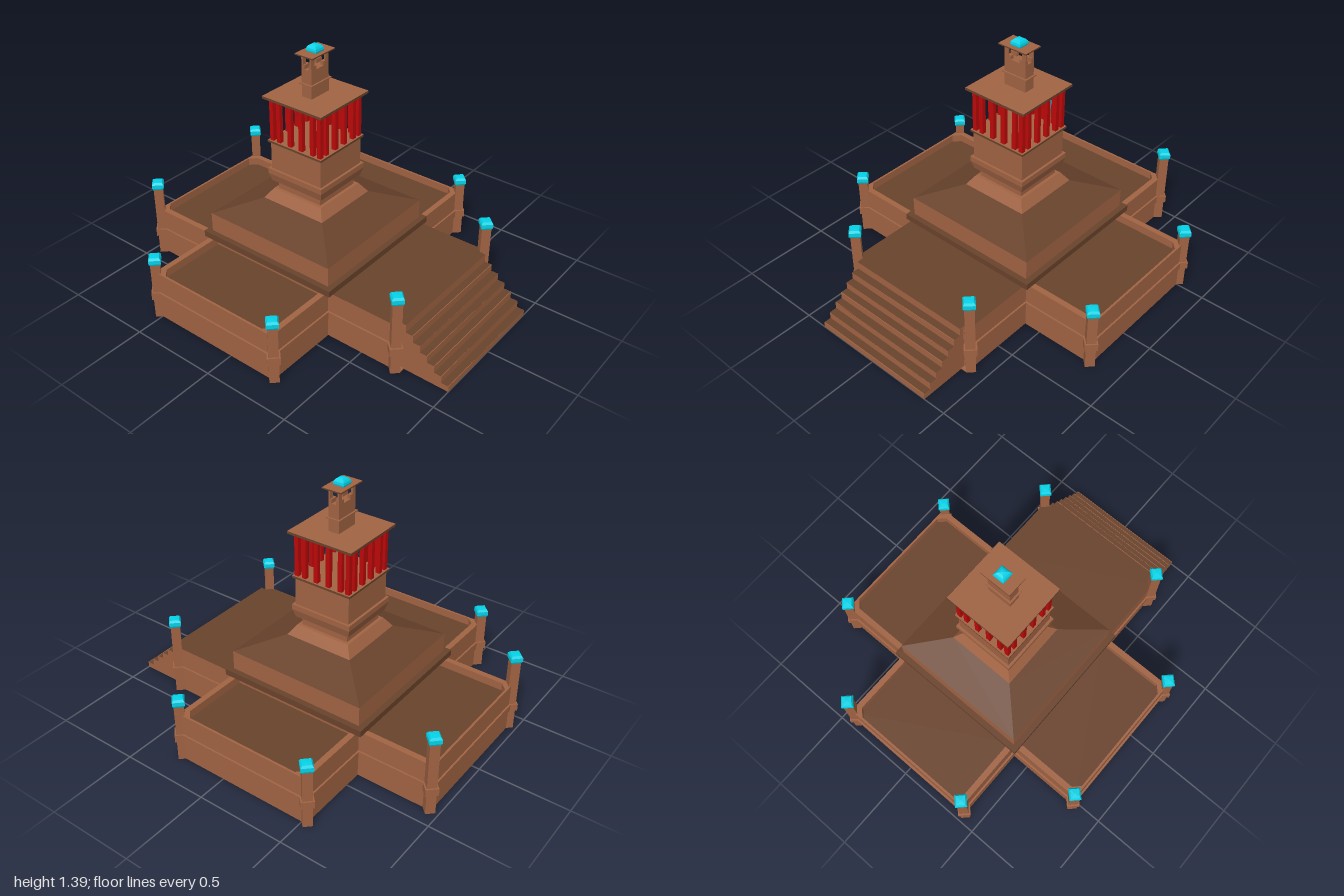
import * as THREE from 'three';

const mat = (name, color) => {
  const m = new THREE.MeshStandardMaterial({ color, side: THREE.DoubleSide, flatShading: true });
  m.name = name;
  return m;
};

export function createModel() {
  const clay = mat('clay', 0xa06343);
  const darkClay = mat('dark clay', 0x69432c);
  const red = mat('red', 0xbd0808);
  const teal = mat('teal', 0x05d3e8);
  // box face materials: dark rim with a clay top, and clay sides with a dark top
  const darkRim = [darkClay, darkClay, clay, darkClay, darkClay, darkClay];
  const darkTop = [clay, clay, darkClay, darkClay, clay, clay];

  const root = new THREE.Group();
  root.name = 'temple';
  root.position.z = -0.12;

  const add = (name, geo, material, parent = root) => {
    const m = new THREE.Mesh(geo, material);
    m.name = name;
    parent.add(m);
    return m;
  };
  // box given by its limits
  const box = (name, material, [x0, x1], [y0, y1], [z0, z1], parent = root) => {
    const g = new THREE.BoxGeometry(x1 - x0, y1 - y0, z1 - z0);
    g.translate((x0 + x1) / 2, (y0 + y1) / 2, (z0 + z1) / 2);
    return add(name, g, material, parent);
  };
  // mirrored interval
  const span = (s, a, b) => s > 0 ? [a, b] : [-b, -a];
  // four-sided solid from [half width, y] pairs; diamonds have corners on the axes
  const foursided = (pts, diamond = false) => {
    const k = diamond ? 1 : Math.SQRT2;
    const g = new THREE.LatheGeometry(
      pts.map(([r, y]) => new THREE.Vector2(r * k, y)), 4, diamond ? 0 : Math.PI / 4).toNonIndexed();
    g.computeVertexNormals();
    return g;
  };

  // four terrace arms around the tower; arm 0 is the front one with the stairs
  const W = 0.405, END = 0.835, FRONT = 0.86, TOP = 0.28;
  const wallShape = new THREE.Shape([
    [-W, W], [-W + 0.033, W], [-W + 0.033, END - 0.05], [-W + 0.072, END - 0.012],
    [W - 0.072, END - 0.012], [W - 0.033, END - 0.05], [W - 0.033, W], [W, W], [W, END], [-W, END],
  ].map(([x, y]) => new THREE.Vector2(x, y)));
  const wallGeo = new THREE.ExtrudeGeometry(wallShape, { depth: TOP, bevelEnabled: false });
  wallGeo.rotateX(Math.PI / 2).translate(0, TOP, 0);

  for (let i = 0; i < 4; i++) {
    const arm = new THREE.Group();
    arm.name = ['frontTerrace', 'leftTerrace', 'backTerrace', 'rightTerrace'][i];
    arm.rotation.y = i * Math.PI / 2;
    root.add(arm);
    const end = i === 0 ? FRONT : END;

    if (i === 0) {
      // side walls and flat landing
      for (const s of [-1, 1]) box('landingWall', clay, span(s, W - 0.033, W), [0, 0.272], [W, END], arm);
      box('landing', darkTop, [-W, W], [0.272, TOP], [W, END], arm);
      box('landingEdge', darkTop, [-0.37, 0.37], [0.272, TOP], [END, FRONT], arm);
      // stairs, hollow underneath
      const levels = 7, rise = TOP / levels, run = (1.12 - FRONT) / (levels - 1);
      for (let k = 0; k < levels; k++) {
        const z = 1.12 - k * run, y = (k + 1) * rise - (k < levels - 1 ? 0.006 : 0.008);
        box('riser', clay, [-0.37, 0.37], [Math.max(0, k * rise - 0.006), y], [z - 0.004, z], arm);
        const back = k < levels - 1 ? z - run : END;
        if (k < levels - 1) box('tread', darkTop, [-0.37, 0.37], [y - 0.003, y], [back, z], arm);
        for (const s of [-1, 1]) box('stairSide', clay, span(s, 0.364, 0.37), [0, y - 0.001], [back, z], arm);
      }
    } else {
      add('parapet', wallGeo, clay, arm);
      box('terraceFloor', darkClay, [-W + 0.01, W - 0.01], [0.225, 0.235], [W - 0.02, END - 0.005], arm);
      box('endBelt', clay, [-W, W], [0.12, 0.162], [END - 0.005, END + 0.01], arm);
    }
    box('underside', clay, [-W, W], [0, 0.006], [W, end], arm);

    // belts along the sides, corner posts and their caps
    const h = i % 2 ? 0.34 : 0.43;
    for (const s of [-1, 1]) {
      box('sideBelt', clay, span(s, W, W + 0.01), [0.12, 0.162], [W, END], arm);
      const post = new THREE.Group();
      post.name = 'cornerPost';
      post.position.set(s * W, 0, 0.826);
      arm.add(post);
      add('postShaft', foursided([[0, 0], [0.036, 0], [0.036, 0.12], [0.048, 0.12], [0.048, 0.162],
        [0.036, 0.162], [0.036, h]], true), clay, post);
      add('postCap', foursided([[0, h - 0.005], [0.038, h - 0.005], [0.045, h + 0.006], [0.045, h + 0.028],
        [0.034, h + 0.04], [0, h + 0.042]], true), teal, post);
    }
  }

  // central podium, open underneath
  add('podiumFoot', foursided([[0.405, 0.225], [0.405, TOP]]), clay);
  add('podiumLedge', foursided([[0.4, TOP], [0.437, TOP], [0.437, 0.315], [0.4, 0.315]]), darkClay);
  add('podiumWall', foursided([[0.405, 0.315], [0.405, 0.425]]), clay);
  add('podiumRoof', foursided([[0.405, 0.425], [0.2, 0.506]]), darkClay);

  // tower shaft
  add('towerShaft', foursided([[0.2, 0.506], [0.162, 0.562], [0.143, 0.562], [0.143, 0.613], [0.167, 0.613],
    [0.181, 0.66], [0.181, 0.69], [0.167, 0.69], [0.167, 0.849]]), clay);
  box('colonnadeFloor', darkRim, [-0.179, 0.179], [0.849, 0.861], [-0.179, 0.179]);

  // colonnade, red posts along each side including one corner per side
  for (let i = 0; i < 4; i++) {
    const side = new THREE.Group();
    side.name = 'colonnadeSide';
    side.rotation.y = i * Math.PI / 2;
    root.add(side);
    for (const x of [-0.111, -0.037, 0.037, 0.111, 0.157])
      box('redColumn', red, [x - 0.012, x + 0.012], [0.861, 1.102], [0.145, 0.169], side);
  }
  box('colonnadeRoof', darkRim, [-0.194, 0.194], [1.102, 1.116], [-0.194, 0.194]);

  // lantern with openings on all four sides
  box('lanternBase', clay, [-0.069, 0.069], [1.116, 1.27], [-0.032, 0.032]);
  box('lanternBand', clay, [-0.08, 0.08], [1.188, 1.194], [-0.042, 0.042]);
  for (const sx of [-1, 1]) for (const sz of [-1, 1]) {
    box('lanternPost', clay, span(sx, 0.045, 0.069), [1.27, 1.346], span(sz, 0.022, 0.032));
    box('lanternSill', clay, span(sx, 0.028, 0.069), [1.27, 1.292], span(sz, 0.013, 0.032));
  }
  box('lanternRoof', darkRim, [-0.09, 0.09], [1.346, 1.353], [-0.057, 0.057]);

  // rounded finial
  const dome = [];
  for (let k = 0; k <= 5; k++) {
    const a = -0.4 + (Math.PI / 2 + 0.4) * k / 5;
    dome.push([Math.max(0, 0.033 * Math.cos(a)), 1.361 + 0.031 * Math.sin(a)]);
  }
  add('finial', foursided(dome), teal);

  const model = new THREE.Group();
  model.name = 'model';
  model.add(root);
  return model;
}
